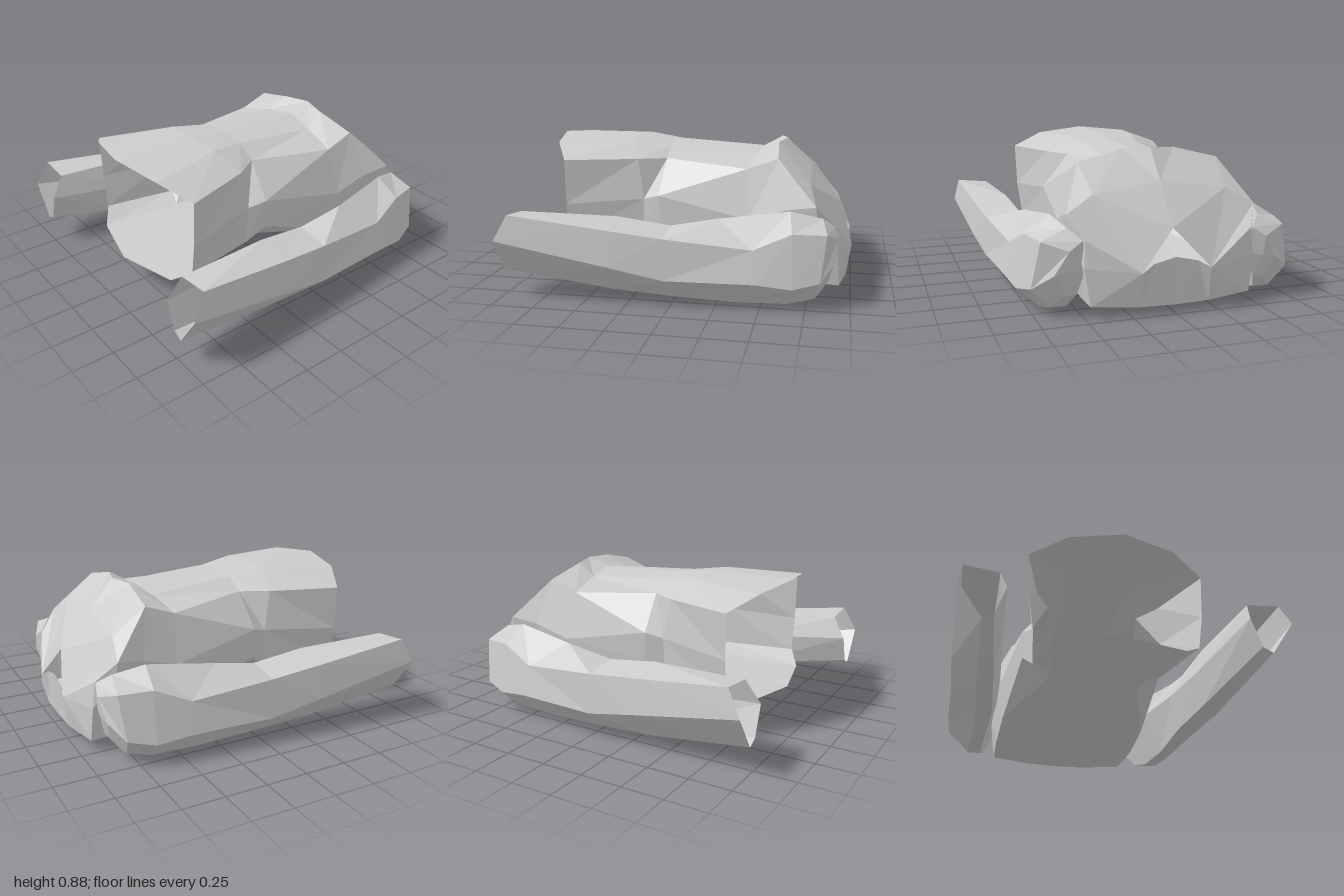
import * as THREE from 'three';

// Skin consecutive rings of points (ordered front to back, clockwise from the front).
function loft(rings, closed) {
  const pos = [];
  const tri = (a, b, c) => pos.push(...a, ...b, ...c);
  for (let i = 0; i < rings.length - 1; i++) {
    const r = rings[i], s = rings[i + 1], n = r.length;
    for (let j = 0; j < (closed ? n : n - 1); j++) {
      const k = (j + 1) % n;
      tri(r[j], r[k], s[j]);
      tri(r[k], s[k], s[j]);
    }
  }
  const g = new THREE.BufferGeometry();
  g.setAttribute('position', new THREE.Float32BufferAttribute(pos, 3));
  g.computeVertexNormals();
  return g;
}

export function createModel() {
  const model = new THREE.Group();
  model.name = 'jacket';
  const cloth = new THREE.MeshStandardMaterial({ color: 0xcccccc, flatShading: true, side: THREE.DoubleSide });
  cloth.name = 'grey cloth';

  // Add a part and its mirror image.
  const addPair = (name, geometry) => {
    for (const [side, sign] of [['left', 1], ['right', -1]]) {
      const m = new THREE.Mesh(geometry, cloth);
      m.name = side + name;
      m.scale.x = sign;
      model.add(m);
    }
  };

  // Half torso from the open hem to the chest ridge, each row top centre to bottom centre
  const hem = [[0, .88, .885], [.32, .85, .82], [.53, .77, .71], [.52, .5, .71], [.49, .29, .71], [.38, .22, .79], [0, .215, .88]];
  const hip = [[0, .88, .37], [.22, .86, .35], [.4, .77, .29], [.42, .53, .25], [.41, .29, .26], [.3, .245, .3], [0, .24, .33]];
  const waist = [[0, .85, .12], [.18, .83, .13], [.3, .765, .13], [.46, .56, .15], [.455, .38, .14], [.3, .25, .13], [0, .24, .13]];
  const chest = [[0, .82, -.44], [.2, .79, -.41], [.43, .735, -.38], [.51, .45, -.4], [.49, .17, -.4], [.25, .14, -.4], [0, .13, -.4]];
  const ridge = [[0, .87, -.585], [.16, .865, -.54], [.43, .8, -.56], [.53, .52, -.62], [.49, .1, -.65], [.25, .09, -.65], [0, .085, -.65]];
  addPair('Torso', loft([hem, hip, waist, chest, ridge], false));

  // Half shoulders closing in on the neck opening
  const yoke = [[0, .7, -.735], [.4, .645, -.75], [.565, .55, -.79], [.55, .42, -.8], [.48, .08, -.8], [.25, .07, -.85], [0, .065, -.85]];
  const collar = [[0, .47, -.93], [.2, .25, -1], [.49, .43, -.9], [.5, .28, -.92], [.47, .07, -.93], [.2, .055, -.97], [0, .05, -.97]];
  addPair('Shoulder', loft([ridge, yoke, collar], false));

  // Back panels between the collar row and the neck opening
  const corner = [.2, .25, -1];
  const neck = [corner, corner, corner, [.13, .29, -.98], [0, .32, -.98]];
  addPair('NeckPanel', loft([collar.slice(2), neck], false));

  // Sleeve from the open cuff to the closed shoulder end
  const sleeve = [
    [[.71, .49, .92], [.91, .51, .92], [.935, .36, 1], [.8, .16, 1], [.74, .19, 1], [.68, .36, 1]],
    [[.67, .475, .35], [.88, .44, .35], [.9, .235, .35], [.75, .06, .35], [.65, .09, .35], [.61, .3, .35]],
    [[.65, .43, .03], [.855, .4, .03], [.87, .165, .03], [.71, .025, .02], [.61, .05, .02], [.57, .28, .02]],
    [[.68, .49, -.25], [.81, .35, -.46], [.845, .165, -.48], [.69, .005, -.35], [.61, .01, -.35], [.53, .3, -.42]],
    [[.62, .535, -.65], [.77, .44, -.67], [.82, .14, -.68], [.69, .015, -.65], [.6, .015, -.65], [.52, .3, -.68]],
    [[.57, .49, -.83], [.72, .43, -.86], [.77, .17, -.83], [.67, .05, -.8], [.57, .05, -.8], [.5, .3, -.8]],
    [[.5, .43, -.9], [.58, .38, -.92], [.66, .25, -.9], [.59, .13, -.87], [.53, .13, -.87], [.48, .28, -.89]],
  ];
  sleeve.push(sleeve[0].map(() => [.57, .27, -.91]));
  addPair('Sleeve', loft(sleeve, true));

  return model;
}
